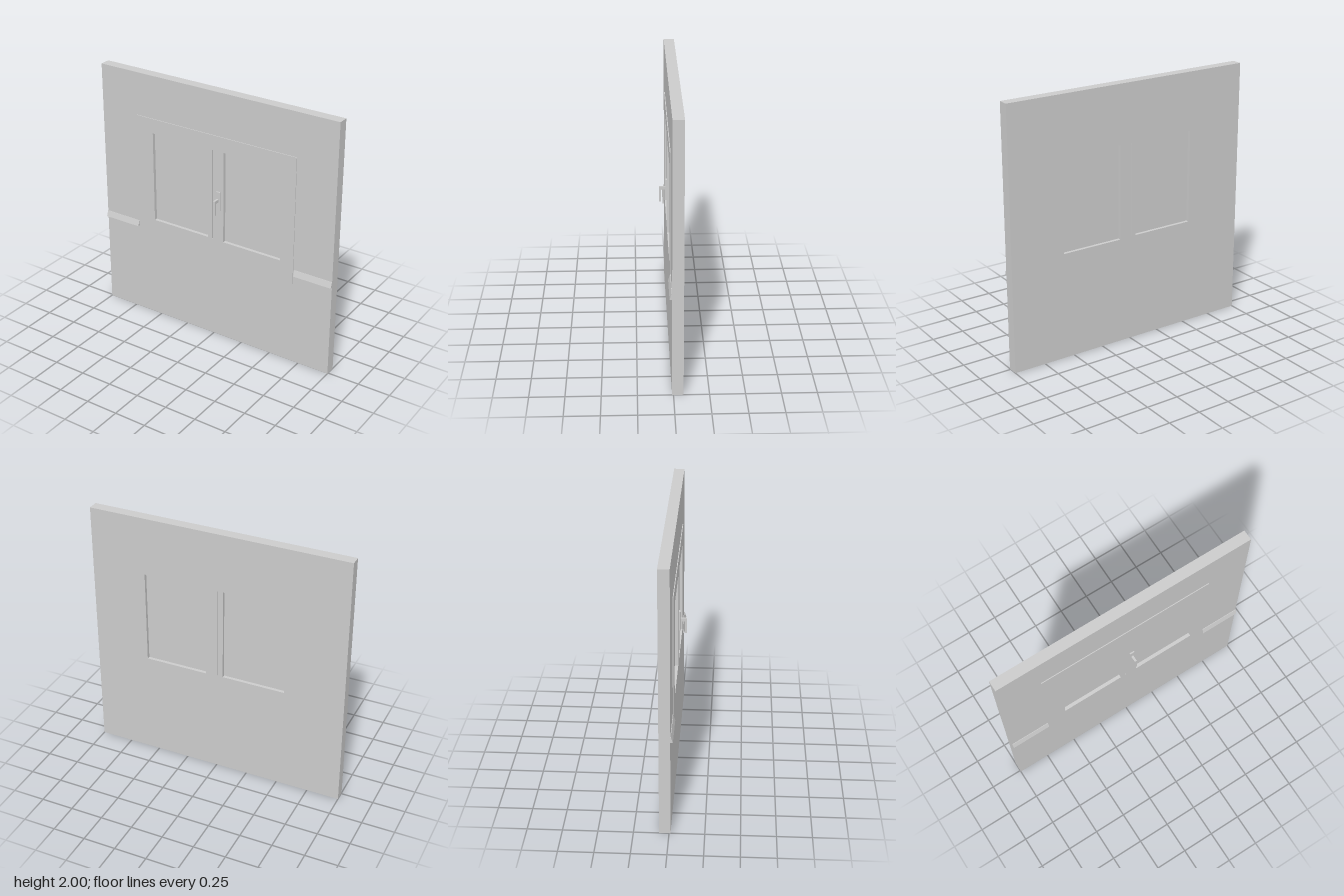
import * as THREE from 'three';

const material = new THREE.MeshStandardMaterial({ color: 0xcccccc, flatShading: true });

// Openings as [x0, y0, x1, y1]: two panes and the narrow slit between the sashes
const panes = [[-0.54, 0.83, -0.05, 1.55], [0.085, 0.825, 0.575, 1.55]];
const openings = [...panes, [-0.013, 0.83, -0.007, 1.55]];

function rect(Type, [x0, y0, x1, y1]) {
  return new Type().moveTo(x0, y0).lineTo(x1, y0).lineTo(x1, y1).lineTo(x0, y1).closePath();
}

function add(parent, name, geometry) {
  const mesh = new THREE.Mesh(geometry, material);
  mesh.name = name;
  parent.add(mesh);
  return mesh;
}

// Flat panel with rectangular holes between two depths
function panel(parent, name, outline, holes, z0, z1) {
  const shape = rect(THREE.Shape, outline);
  shape.holes = holes.map((h) => rect(THREE.Path, h));
  const geometry = new THREE.ExtrudeGeometry(shape, { depth: z1 - z0, bevelEnabled: false });
  return add(parent, name, geometry.translate(0, 0, z0));
}

// Box given by its lower and upper corners
function block(parent, name, [x0, y0, z0], [x1, y1, z1]) {
  const geometry = new THREE.BoxGeometry(x1 - x0, y1 - y0, z1 - z0);
  return add(parent, name, geometry.translate((x0 + x1) / 2, (y0 + y1) / 2, (z0 + z1) / 2));
}

export function createModel() {
  const model = new THREE.Group();
  model.name = 'windowWall';

  panel(model, 'wall', [-1, 0, 1, 2], openings, -0.07, 0.01);

  // Raised window frame, sharing the openings of the wall
  const casement = new THREE.Group();
  casement.name = 'window';
  model.add(casement);
  panel(casement, 'windowFrame', [-0.683, 0.663, 0.683, 1.665], openings, 0.01, 0.016);

  // Glass set back from both faces, and the filler inside the slit
  panes.forEach(([x0, y0, x1, y1], i) =>
    block(casement, i ? 'leftPane' : 'rightPane', [x0, y0, -0.045], [x1, y1, -0.01]));
  block(casement, 'sashSeam', [-0.013, 0.83, -0.045], [-0.007, 1.55, -0.01]);

  // Handle: back plate, neck and hanging lever
  const handle = new THREE.Group();
  handle.name = 'handle';
  casement.add(handle);
  block(handle, 'handlePlate', [0.025, 1.08, 0.016], [0.061, 1.23, 0.026]);
  block(handle, 'handleNeck', [0.034, 1.152, 0.026], [0.051, 1.175, 0.06]);
  block(handle, 'handleLever', [0.034, 1.058, 0.06], [0.051, 1.175, 0.075]);

  // Sloped ledges on both sides of the window
  const profile = new THREE.Shape()
    .moveTo(-0.01, 0.735).lineTo(-0.028, 0.735).lineTo(-0.014, 0.78).lineTo(-0.01, 0.78).closePath();
  for (const [name, x] of [['rightLedge', -1], ['leftLedge', 0.693]]) {
    const geometry = new THREE.ExtrudeGeometry(profile, { depth: 0.307, bevelEnabled: false });
    add(model, name, geometry.rotateY(Math.PI / 2).translate(x, 0, 0));
  }
  return model;
}
